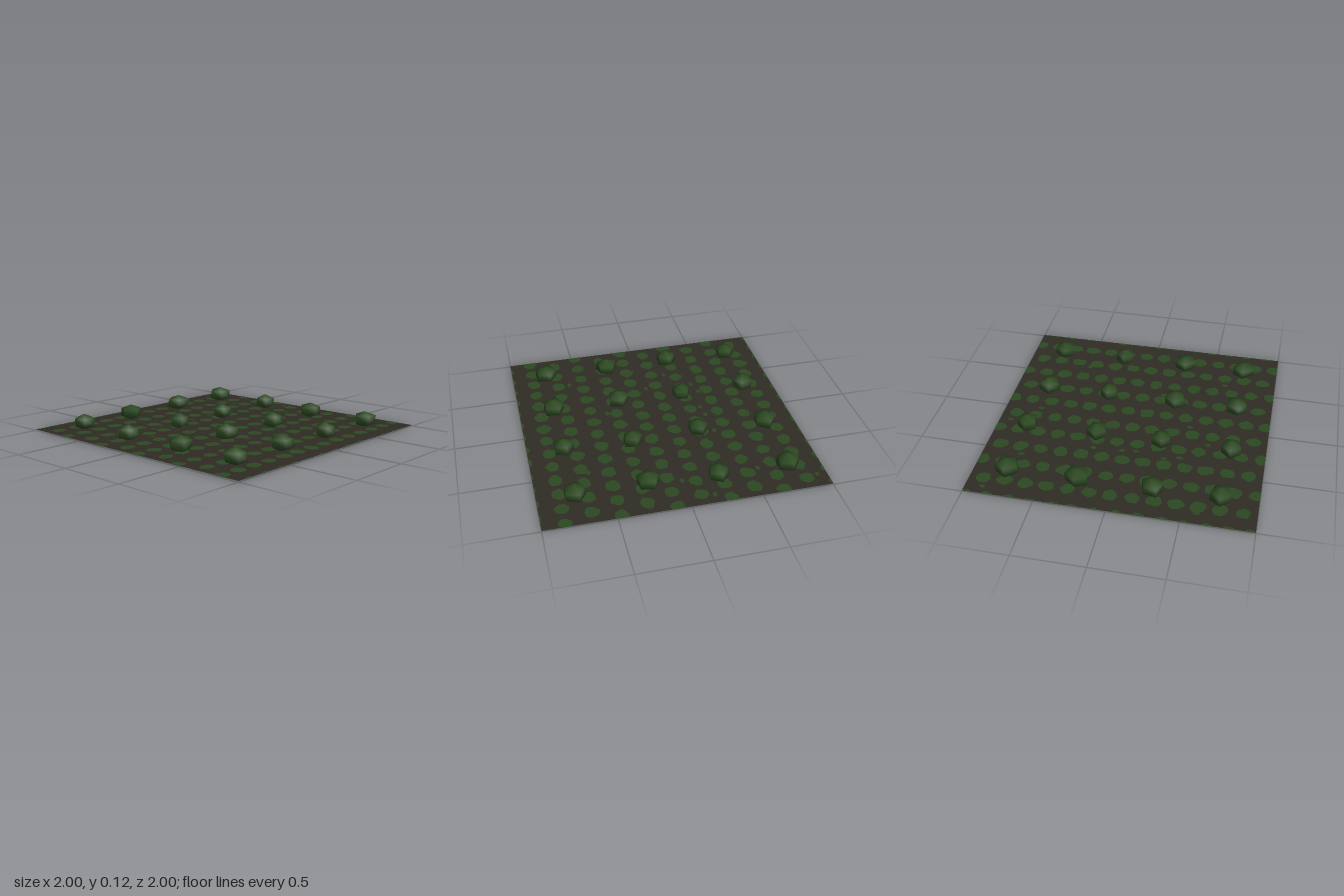
import * as THREE from 'three';
import { mergeVertices } from 'three/addons/utils/BufferGeometryUtils.js';

const GROUND_Y = 0.007;

// Small seeded generator, returns values in -1..1
function seeded(seed) {
  let s = seed;
  return () => {
    s = (s * 16807) % 2147483647;
    return (s / 2147483647) * 2 - 1;
  };
}

// Low-poly leafy ball: five sides, three bands, uneven corners, smooth normals
function bushGeometry(radius, rand) {
  let geo = new THREE.SphereGeometry(1, 5, 3);
  geo.deleteAttribute('uv');
  geo.deleteAttribute('normal');
  geo = mergeVertices(geo, 1e-3);
  const p = geo.attributes.position;
  for (let i = 0; i < p.count; i++) {
    if (Math.abs(p.getY(i)) > 0.9) continue;
    const k = 1 + rand() * 0.08;
    p.setXYZ(i, p.getX(i) * k + rand() * 0.05, p.getY(i) + rand() * 0.05, p.getZ(i) * k + rand() * 0.05);
  }
  geo.scale(radius, 0.06, radius);
  geo.computeVertexNormals();
  return geo;
}

// All grass patches as one sheet of irregular fans, clipped to the ground square
function patchGeometry(patches, rand) {
  const pos = [], index = [], sides = 11;
  const clip = (v) => THREE.MathUtils.clamp(v, -1, 1);
  for (const [x, z, rx, rz] of patches) {
    const base = pos.length / 3;
    pos.push(clip(x), 0, clip(z));
    for (let i = 0; i < sides; i++) {
      const a = (i / sides) * Math.PI * 2, k = 1 + rand() * 0.13;
      pos.push(clip(x + Math.cos(a) * rx * k), 0, clip(z + Math.sin(a) * rz * k));
      index.push(base, base + 1 + ((i + 1) % sides), base + 1 + i);
    }
  }
  const geo = new THREE.BufferGeometry();
  geo.setAttribute('position', new THREE.Float32BufferAttribute(pos, 3));
  geo.setAttribute('normal', new THREE.Float32BufferAttribute(pos.map((_, i) => (i % 3 === 1 ? 1 : 0)), 3));
  geo.setIndex(index);
  return geo;
}

export function createModel() {
  const model = new THREE.Group();
  const soil = new THREE.MeshStandardMaterial({ name: 'soil', color: 0x2f2b24, side: THREE.DoubleSide });
  const grass = new THREE.MeshStandardMaterial({ name: 'grass', color: 0x2c4722, side: THREE.DoubleSide });
  const leaf = new THREE.MeshStandardMaterial({ name: 'leaf', color: 0x2d4a22 });

  // Ground sheet
  const ground = new THREE.Mesh(new THREE.PlaneGeometry(2, 2).rotateX(-Math.PI / 2), soil);
  ground.name = 'ground';
  ground.position.y = GROUND_Y;
  model.add(ground);

  // Staggered rows of grass patches
  const rand = seeded(421);
  const patches = [];
  for (let row = 0; row < 12; row++) {
    const odd = row % 2 === 0;
    const z = -1.031 + row * 0.1875;
    const count = odd ? 14 : 13;
    for (let k = 0; k < count; k++) {
      const x = (k - (count - 1) / 2) * 0.15;
      patches.push([x, z, 0.055 + rand() * 0.003, 0.051 + rand() * 0.004]);
    }
  }
  // Stray tufts between the rows
  const strays = [
    [0.88, -0.93], [-0.6, -0.9], [-0.4, -0.37], [-0.08, -0.36], [0.02, -0.37], [0.23, -0.38],
    [-0.58, -0.19], [-0.42, -0.01], [0.72, -0.55], [-0.61, 0.57], [0.5, 0.61], [-0.16, 0.35],
    [0.92, -0.18], [0.73, 0], [-0.29, -0.4],
  ];
  for (const [x, z] of strays) patches.push([x, z, 0.024, 0.016]);

  // Patches show on both faces of the ground
  const patchGeo = patchGeometry(patches, rand);
  for (const [name, offset] of [['grassPatchesTop', 0.0015], ['grassPatchesUnderside', -0.0015]]) {
    const mesh = new THREE.Mesh(patchGeo, grass);
    mesh.name = name;
    mesh.position.y = GROUND_Y + offset;
    model.add(mesh);
  }

  // Bushes: x, z, radius, turn in degrees
  const bushes = [
    [-0.74, -0.755, 0.088, 0], [-0.27, -0.76, 0.091, -30], [0.25, -0.76, 0.095, 5], [0.755, -0.755, 0.095, 0],
    [-0.75, -0.25, 0.087, 0], [-0.245, -0.25, 0.08, -11], [0.23, -0.25, 0.083, 3], [0.76, -0.25, 0.085, 8],
    [-0.735, 0.25, 0.094, -14], [-0.27, 0.245, 0.091, 0], [0.255, 0.245, 0.084, 0], [0.73, 0.24, 0.092, -8],
    [-0.735, 0.74, 0.094, -2], [-0.265, 0.74, 0.092, -5], [0.23, 0.74, 0.087, 3], [0.735, 0.74, 0.094, 0],
  ];
  const bushGroup = new THREE.Group();
  bushGroup.name = 'bushes';
  bushes.forEach(([x, z, radius, turn], i) => {
    const bush = new THREE.Mesh(bushGeometry(radius, rand), leaf);
    bush.name = `bush${i + 1}`;
    bush.position.set(x, 0.06, z);
    bush.rotation.y = -Math.PI / 2 - THREE.MathUtils.degToRad(turn);
    bushGroup.add(bush);
  });
  model.add(bushGroup);

  return model;
}
